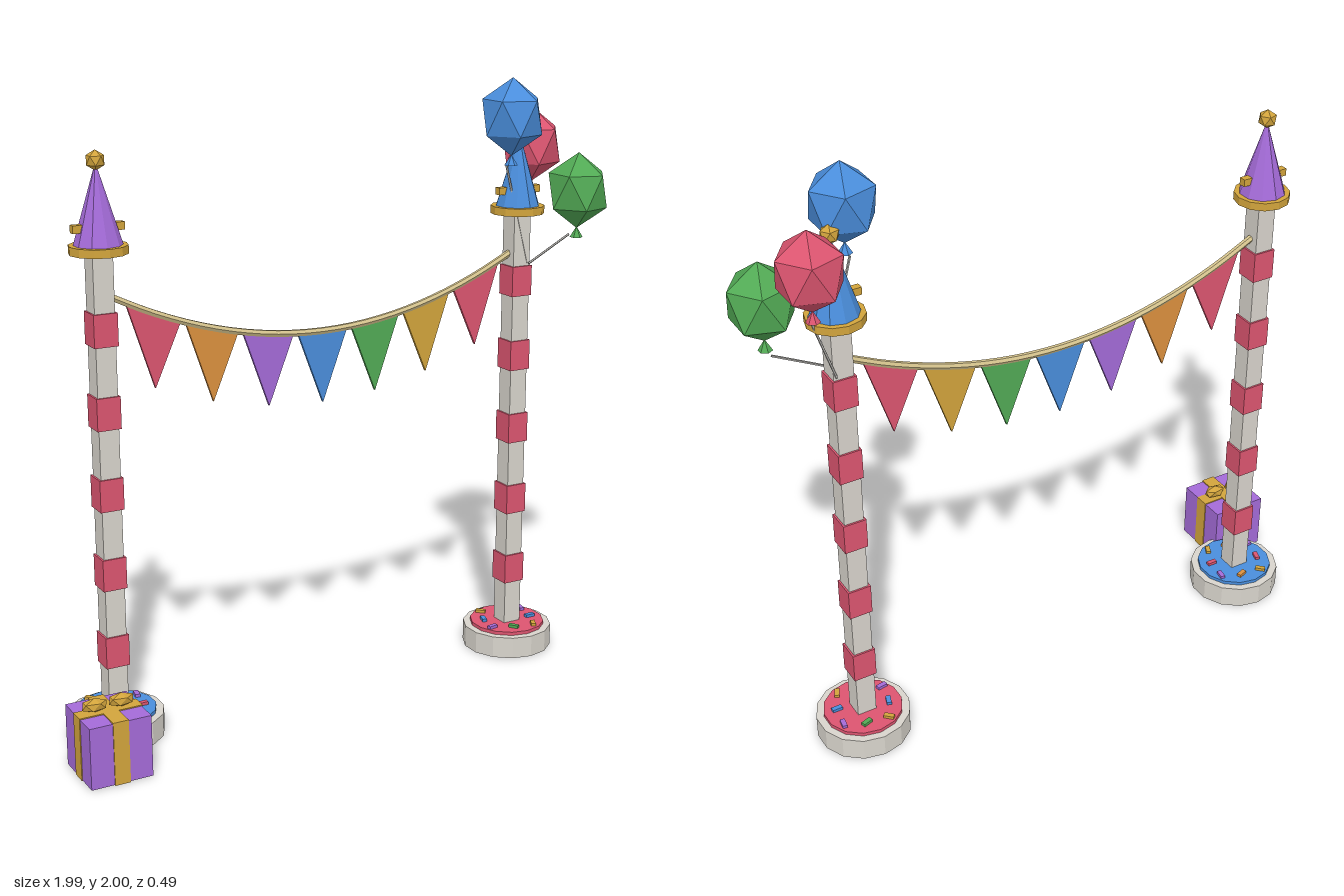
import * as THREE from 'three';

const mat = (name, color, extra = {}) =>
  new THREE.MeshStandardMaterial({ name, color, flatShading: true, ...extra });

export function createModel() {
  const M = {
    stone: mat('warm white', 0xd8d4cc),
    red: mat('red', 0xdc5570),
    blue: mat('blue', 0x4a8edc),
    green: mat('green', 0x52aa55),
    purple: mat('purple', 0xa46bd8),
    gold: mat('gold', 0xd2a43c),
    orange: mat('orange', 0xdc913f),
    rope: mat('rope tan', 0xd6c48e),
    string: mat('string grey', 0xb4b2ae),
  };
  const root = new THREE.Group();
  root.name = 'partyArch';

  const add = (parent, name, geo, material, x = 0, y = 0, z = 0) => {
    const m = new THREE.Mesh(geo, material);
    m.name = name;
    m.position.set(x, y, z);
    parent.add(m);
    return m;
  };
  const box = (w, h, d) => new THREE.BoxGeometry(w, h, d);
  const cyl = (rt, rb, h, n) => new THREE.CylinderGeometry(rt, rb, h, n);
  // Icosahedron with a corner at the top, stretched on each axis
  const ico = (rx, ry, rz) =>
    new THREE.IcosahedronGeometry(1, 0)
      .rotateZ(-Math.atan(2 / (1 + Math.sqrt(5))))
      .scale(rx, ry, rz);

  const Z = -0.085;

  // Posts with base, stripes, confetti and party hat
  function post(name, x, discMat, hatMat, confetti) {
    const g = new THREE.Group();
    g.name = name;
    g.position.set(x, 0, Z);
    root.add(g);
    add(g, 'base', cyl(0.155, 0.155, 0.075, 14), M.stone, 0, 0.0375);
    add(g, 'baseDisc', cyl(0.13, 0.13, 0.012, 14), discMat, 0, 0.081);
    add(g, 'pole', box(0.065, 1.47, 0.065), M.stone, 0, 0.815);
    for (let i = 0; i < 5; i++) {
      add(g, 'stripe', box(0.077, 0.102, 0.077), M.red, 0, 0.29 + i * 0.257);
    }
    for (let i = 0; i < 8; i++) {
      const a = i * 0.785 + 0.3;
      const r = i % 2 ? 0.105 : 0.085;
      const c = add(g, 'confetti', box(0.034, 0.01, 0.016), confetti[i % confetti.length],
        Math.cos(a) * r, 0.092, Math.sin(a) * r);
      c.rotation.y = i * 1.1;
    }
    // Party hat
    add(g, 'hatBrim', cyl(0.09, 0.09, 0.026, 12), M.gold, 0, 1.558);
    add(g, 'hatCone', new THREE.ConeGeometry(0.076, 0.25, 10), hatMat, 0, 1.69);
    add(g, 'hatBall', ico(0.031, 0.031, 0.031), M.gold, 0, 1.82);
    for (const s of [-1, 1]) {
      add(g, 'hatStud', box(0.034, 0.024, 0.024), M.gold, s * 0.065, 1.623);
    }
  }
  post('rightPost', -0.785, M.blue, M.purple, [M.red, M.gold, M.orange, M.purple]);
  post('leftPost', 0.71, M.red, M.blue, [M.blue, M.gold, M.green, M.purple]);

  // Sagging rope
  const ropeY = (x) => 1.225 + 0.185 * ((x + 0.036) / 0.715) ** 2;
  const pts = [];
  for (let i = 0; i <= 14; i++) {
    const x = -0.755 + (i / 14) * 1.437;
    pts.push(new THREE.Vector3(x, ropeY(x), Z));
  }
  add(root, 'rope', new THREE.TubeGeometry(new THREE.CatmullRomCurve3(pts), 28, 0.0115, 6), M.rope);

  // Pennants hanging from the rope
  [M.red, M.orange, M.purple, M.blue, M.green, M.gold, M.red].forEach((m, i) => {
    const x = -0.617 + i * 0.194;
    const s = new THREE.Shape();
    s.moveTo(x - 0.088, ropeY(x - 0.088) - 0.004);
    s.lineTo(x, ropeY(x) - 0.235);
    s.lineTo(x + 0.088, ropeY(x + 0.088) - 0.004);
    const geo = new THREE.ExtrudeGeometry(s, { depth: 0.01, bevelEnabled: false });
    add(root, 'pennant', geo, m, 0, 0, Z - 0.005);
  });

  // Balloons tied to the left post
  const tie = new THREE.Vector2(0.732, 1.378);
  [
    [M.blue, 0.64, 1.873, -0.027],
    [M.red, 0.805, 1.76, -0.152],
    [M.green, 0.894, 1.618, 0],
  ].forEach(([m, x, y, z]) => {
    const g = new THREE.Group();
    g.name = 'balloon';
    root.add(g);
    add(g, 'balloonBody', ico(0.11, 0.127, 0.11), m, x, y, z);
    add(g, 'balloonKnot', new THREE.ConeGeometry(0.022, 0.036, 6), m, x, y - 0.14, z);
    const dx = x - tie.x;
    const dy = y - 0.155 - tie.y;
    const st = add(g, 'balloonString', cyl(0.004, 0.004, Math.hypot(dx, dy), 5), M.string,
      tie.x + dx / 2, tie.y + dy / 2, (z + Z) / 2);
    st.rotation.z = -Math.atan2(dx, dy);
  });

  // Gift box with crossing ribbons and a bow
  const gift = new THREE.Group();
  gift.name = 'gift';
  gift.position.set(-0.9, 0, 0.147);
  root.add(gift);
  add(gift, 'giftBox', box(0.198, 0.198, 0.198), M.purple, 0, 0.101);
  add(gift, 'ribbonFrontBack', box(0.05, 0.204, 0.204), M.gold, 0, 0.102);
  add(gift, 'ribbonSides', box(0.203, 0.203, 0.05), M.gold, 0, 0.102);
  for (const s of [-1, 1]) {
    add(gift, 'bowLoop', ico(0.044, 0.023, 0.025), M.gold, s * 0.043, 0.225);
  }
  return root;
}
